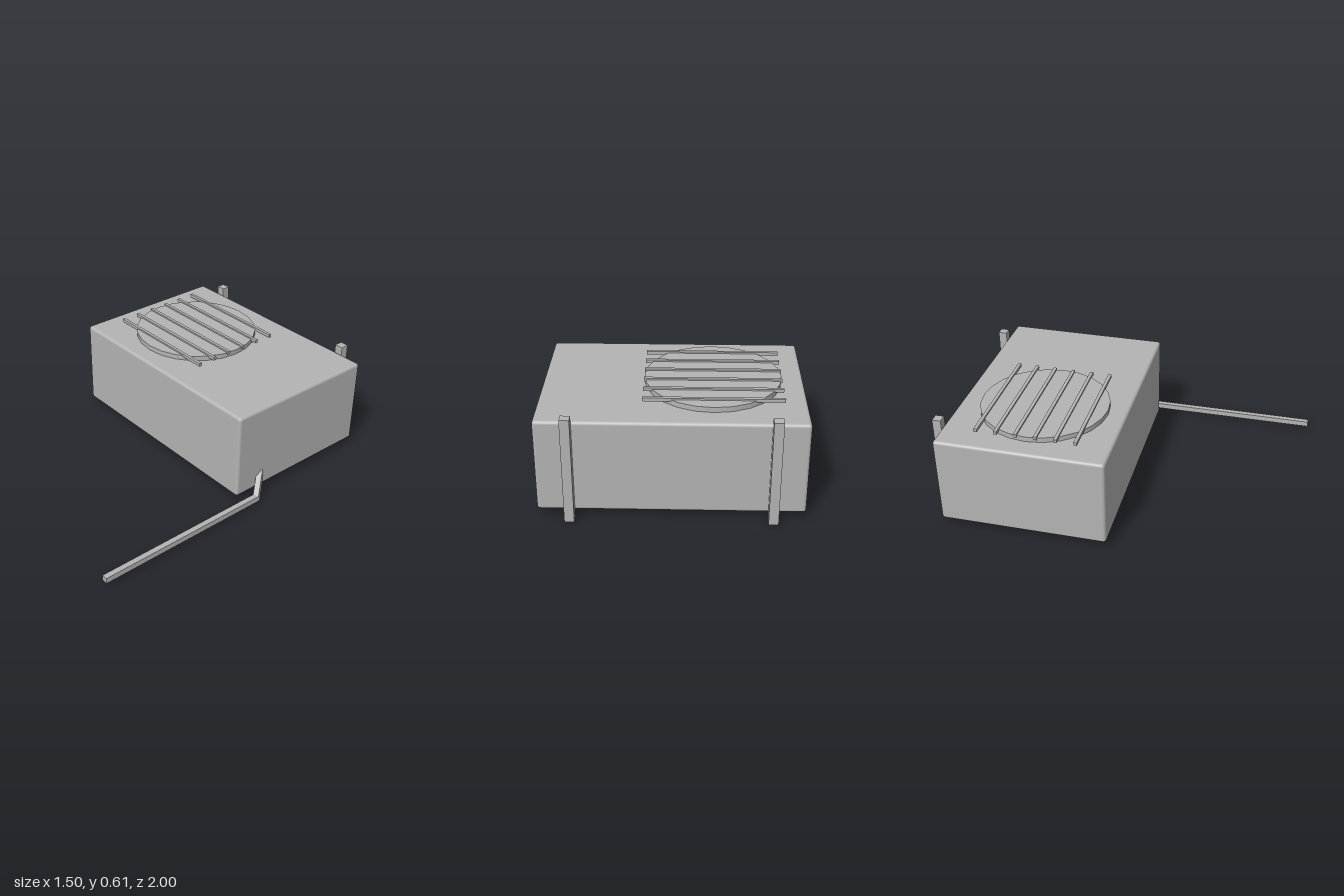
import * as THREE from 'three';
import { RoundedBoxGeometry } from 'three/addons/geometries/RoundedBoxGeometry.js';

export function createModel() {
  const model = new THREE.Group();
  model.name = 'airConditionerUnit';
  const grey = new THREE.MeshStandardMaterial({ color: 0xb4b4b4 });
  grey.name = 'light grey metal';

  const add = (name, geometry, x, y, z) => {
    const mesh = new THREE.Mesh(geometry, grey);
    mesh.name = name;
    mesh.position.set(x, y, z);
    model.add(mesh);
    return mesh;
  };

  // Casing with softly rounded edges
  add('casing', new RoundedBoxGeometry(1.408, 0.525, 0.965, 3, 0.018), -0.046, 0.3025, -0.4625);

  // Raised fan disc and the grille bars across it
  const fanX = -0.26, fanZ = -0.455;
  add('fanDisc', new THREE.CylinderGeometry(0.37, 0.37, 0.04, 24), fanX, 0.574, fanZ);
  for (let i = 0; i < 6; i++) {
    add('grilleBar', new THREE.BoxGeometry(0.742, 0.019, 0.019), fanX, 0.5935, fanZ + (i - 2.5) * 0.1132);
  }

  // Mounting rails behind the casing
  for (const x of [-0.578, 0.484]) {
    add('mountingRail', new THREE.BoxGeometry(0.052, 0.605, 0.05), x, 0.3025, -0.975);
  }

  // Square pipe, mitred where it bends into the casing
  add('pipe', pipeGeometry(0.0165), 0, 0, 0);
  return model;
}

// Square section carried along a bent path: start, bend, open run to the front
function pipeGeometry(h) {
  const path = [[0.62, 0.155, -0.206], [0.732, 0.04, -0.065], [0.732, 0.04, 1]];
  const corners = [[-h, -h], [h, -h], [h, h], [-h, h]];
  const rings = path.map(([x, y, z], i) =>
    corners.map(([dx, dy]) => [x + dx, y + dy, z + (i < 2 ? 0.32 * (dy - dx) : 0)]));
  const points = [];
  const quad = (a, b, c, d) => points.push(...a, ...b, ...c, ...a, ...c, ...d);
  for (let i = 0; i < 2; i++) {
    for (let k = 0; k < 4; k++) {
      const n = (k + 1) % 4;
      quad(rings[i][k], rings[i][n], rings[i + 1][n], rings[i + 1][k]);
    }
  }
  quad(...rings[2]);
  quad(...[...rings[0]].reverse());
  const geometry = new THREE.BufferGeometry();
  geometry.setAttribute('position', new THREE.Float32BufferAttribute(points, 3));
  geometry.computeVertexNormals();
  return geometry;
}
